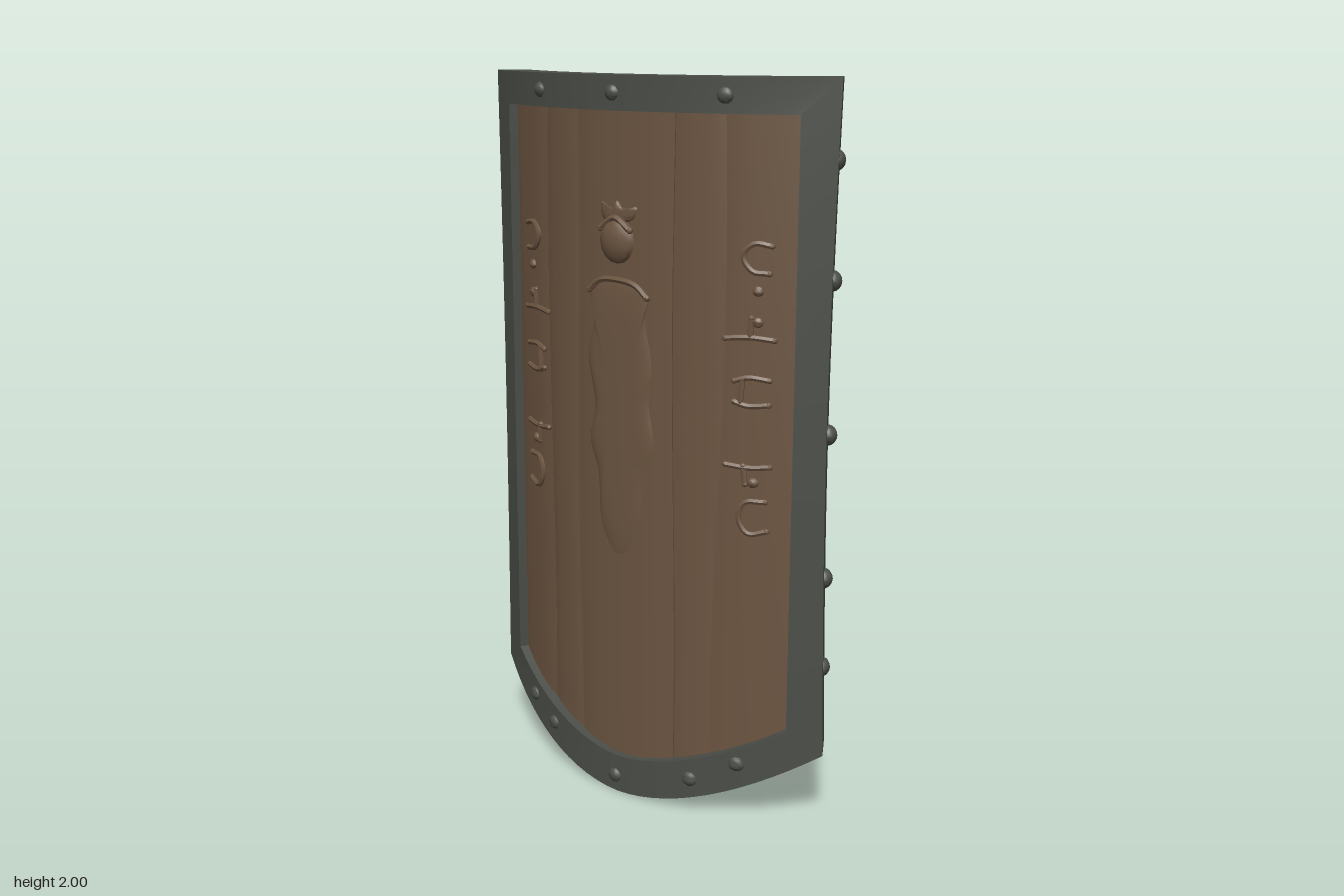
import * as THREE from 'three';
import { toCreasedNormals } from 'three/addons/utils/BufferGeometryUtils.js';

const wood = new THREE.MeshStandardMaterial({ color: 0x6c5541 });
wood.name = 'brown wood';
const iron = new THREE.MeshStandardMaterial({ color: 0x4b4e48 });
iron.name = 'dark iron';

const lerp = THREE.MathUtils.lerp;
const TOP = 2, INNER_TOP = 1.91, OUT = 0.555, INN = 0.47;
const outerBottom = u => 0.22 * Math.pow(Math.abs(u) / OUT, 1.8);
const innerBottom = u => 0.11 + 0.17 * Math.pow(Math.abs(u) / INN, 1.7);

// Everything is laid out flat as (u, y, depth) and then wrapped on the shield's curve
function bend(geo, remap) {
  const p = geo.attributes.position;
  for (let i = 0; i < p.count; i++) {
    let v = [p.getX(i), p.getY(i), p.getZ(i)];
    if (remap) v = remap(...v);
    const [u, y, d] = v;
    const slope = 1.06 * u, len = Math.hypot(slope, 1);
    p.setXYZ(i, u + slope / len * d, y, 0.075 - 0.53 * u * u + d / len);
  }
  return toCreasedNormals(geo, 0.7);
}

function add(group, name, geo, material, remap) {
  const mesh = new THREE.Mesh(bend(geo, remap), material);
  mesh.name = name;
  group.add(mesh);
  return mesh;
}

// Squashed ball, for rivets and dots
function stud(group, name, material, u, y, d, rx, ry, rd) {
  const g = new THREE.SphereGeometry(1, 12, 8);
  g.scale(rx, ry, rd).translate(u, y, d);
  add(group, name, g, material);
}

// Rounded raised line through flat points [u, y]
function ridge(group, name, pts, d, r) {
  const curve = new THREE.CatmullRomCurve3(pts.map(([u, y, z = 0]) => new THREE.Vector3(u, y, d + z)));
  add(group, name, new THREE.TubeGeometry(curve, 16, r, 6), wood);
  for (const [u, y, z = 0] of [pts[0], pts[pts.length - 1]]) stud(group, name + 'End', wood, u, y, d + z, r, r, r);
}

// Softly domed carving with a smooth closed outline; side is 1 for front, -1 for back
function carving(group, name, outline, d, height, side) {
  const n = 64, rings = 6;
  const curve = new THREE.CatmullRomCurve3(outline.map(([u, y]) => new THREE.Vector3(u, y, 0)), true);
  const pts = curve.getSpacedPoints(n).slice(0, n);
  const c = new THREE.Vector3();
  pts.forEach(p => c.addScaledVector(p, 1 / n));
  const area = pts.reduce((a, p, i) => a + p.x * pts[(i + 1) % n].y - pts[(i + 1) % n].x * p.y, 0);
  if (area * side < 0) pts.reverse();
  const pos = [], idx = [];
  for (let r = 0; r <= rings; r++) {
    const t = Math.sin(r / rings * Math.PI / 2);
    for (const p of pts) pos.push(lerp(c.x, p.x, t), lerp(c.y, p.y, t), d + side * height * (1 - Math.pow(t, 8)));
  }
  for (let r = 0; r < rings; r++) for (let i = 0; i < n; i++) {
    const a = r * n + i, b = r * n + (i + 1) % n;
    if (r > 0) idx.push(a, b + n, b);
    idx.push(a, a + n, b + n);
  }
  const g = new THREE.BufferGeometry();
  g.setAttribute('position', new THREE.Float32BufferAttribute(pos, 3));
  g.setIndex(idx);
  add(group, name, g, wood);
}

function buildFrame(root) {
  const frame = new THREE.Group();
  frame.name = 'frame';
  const depth = 0.09;
  // Mitred top and bottom rails
  add(frame, 'topRail', new THREE.BoxGeometry(1, 1, depth, 28, 1, 1), iron, (x, y, d) =>
    [2 * x * lerp(INN, OUT, y + 0.5), lerp(INNER_TOP, TOP, y + 0.5), d]);
  add(frame, 'bottomRail', new THREE.BoxGeometry(1, 1, depth, 28, 1, 1), iron, (x, y, d) => {
    const t = 0.5 - y, u = 2 * x * lerp(INN, OUT, t);
    return [u, lerp(innerBottom(2 * x * INN), outerBottom(2 * x * OUT), t), d];
  });
  // Side rails, slightly drawn in at mid-height
  for (const s of [-1, 1]) {
    add(frame, s > 0 ? 'leftRail' : 'rightRail', new THREE.BoxGeometry(1, 1, depth, 1, 20, 1), iron, (x, y, d) => {
      const t = s * x + 0.5, h = y + 0.5;
      const u = lerp(INN, OUT, t) - 0.012 * t * Math.sin(Math.PI * h);
      return [s * u, lerp(lerp(0.28, 0.22, t), lerp(INNER_TOP, TOP, t), h), d];
    });
    for (const y of [1.8, 1.5, 1.1, 0.71, 0.46]) stud(frame, 'sideRivet', iron, s * 0.545, y, 0, 0.02, 0.027, 0.027);
  }
  // Rivets on the front and back of the rails
  for (const d of [-0.043, 0.043]) {
    for (const u of [-0.29, -0.01, 0.3]) stud(frame, 'topRivet', iron, u, 1.955, d, 0.021, 0.021, 0.014);
    for (const [u, y] of [[-0.37, 0.17], [-0.265, 0.12], [-0.01, 0.047], [0.225, 0.1], [0.35, 0.17]])
      stud(frame, 'bottomRivet', iron, u, y, d, 0.021, 0.021, 0.014);
  }
  root.add(frame);
}

function buildPlanks(root) {
  const planks = new THREE.Group();
  planks.name = 'planks';
  // Seams wander a little with height
  const edges = [
    () => -0.49,
    y => -0.3 + 0.008 * Math.sin(y * 3.2),
    y => -0.162 + 0.006 * Math.sin(y * 4 + 1),
    y => 0.16 + 0.005 * Math.sin(y * 3.5),
    y => 0.285 + 0.016 * Math.sin(y * 2.4 - 2.2),
    () => 0.49,
  ];
  const half = [0.021, 0.019, 0.024, 0.018, 0.021];
  for (let i = 0; i < 5; i++) {
    add(planks, 'plank', new THREE.BoxGeometry(1, 1, 2, 8, 24, 1), wood, (x, y, d) => {
      const h = lerp(0.2, 1.93, y + 0.5);
      const u = lerp(edges[i](h) - 0.001, edges[i + 1](h) + 0.001, x + 0.5);
      const round = 1 - 0.25 * Math.pow(Math.abs(2 * x), 4);
      return [u, lerp(innerBottom(u) - 0.03, 1.93, y + 0.5), d * half[i] * round];
    });
  }
  // Split slivers on the back
  for (const [u, lean] of [[0.27, 0.02], [-0.25, -0.01]])
    add(planks, 'sliver', new THREE.BoxGeometry(0.035, 0.42, 0.012, 1, 6, 1), wood, (x, y, d) =>
      [u + x * (0.7 - y) + lean * y * 4, 0.53 + y, d - 0.019]);
  root.add(planks);
}

function buildFrontCarvings(root) {
  const g = new THREE.Group();
  g.name = 'frontCarvings';
  // Central ornament: long wavy body, round knob and small crest
  carving(g, 'longOrnament', [[-0.11, 1.46], [0, 1.475], [0.09, 1.45], [0.08, 1.38], [0.1, 1.24], [0.09, 1.15], [0.105, 1.03],
    [0.075, 0.92], [0.05, 0.76], [-0.01, 0.69], [-0.07, 0.77], [-0.085, 0.93], [-0.115, 1.02], [-0.095, 1.12],
    [-0.12, 1.26], [-0.095, 1.37]], 0.022, 0.009, 1);
  ridge(g, 'collar', [[-0.11, 1.435], [-0.07, 1.465], [0, 1.47], [0.05, 1.46], [0.085, 1.43]], 0.024, 0.009);
  stud(g, 'knob', wood, -0.01, 1.575, 0.024, 0.055, 0.062, 0.028);
  ridge(g, 'knobBand', [[-0.058, 1.605], [-0.01, 1.635], [0.038, 1.605]], 0.034, 0.009);
  carving(g, 'crest', [[-0.06, 1.63], [0.04, 1.63], [0.055, 1.665], [0.01, 1.66], [-0.01, 1.68], [-0.03, 1.66], [-0.065, 1.675]], 0.022, 0.01, 1);
  // Mirrored columns of raised hooks, dots and bars
  for (const s of [-1, 1]) {
    const line = pts => ridge(g, 'columnMark', pts.map(([u, y]) => [s * u, y]), 0.022, 0.008);
    line([[0.41, 1.585], [0.37, 1.59], [0.342, 1.56], [0.365, 1.52], [0.405, 1.515]]);
    for (const y of [1.47, 1.39]) stud(g, 'columnDot', wood, s * 0.38, y, 0.022, 0.014, 0.014, 0.01);
    line([[0.42, 1.345], [0.36, 1.35], [0.3, 1.345]]);
    line([[0.365, 1.4], [0.362, 1.35]]);
    line([[0.41, 1.24], [0.36, 1.245], [0.325, 1.235]]);
    line([[0.41, 1.175], [0.36, 1.17], [0.325, 1.18]]);
    line([[0.345, 1.24], [0.34, 1.175]]);
    line([[0.415, 1.01], [0.365, 1.005], [0.305, 1.01]]);
    line([[0.35, 1.01], [0.355, 0.96]]);
    stud(g, 'columnDot', wood, s * 0.375, 0.965, 0.022, 0.014, 0.014, 0.01);
    line([[0.405, 0.915], [0.355, 0.91], [0.34, 0.865], [0.365, 0.825], [0.41, 0.835]]);
  }
  root.add(g);
}

function buildBack(root) {
  const g = new THREE.Group();
  g.name = 'gripSide';
  const D = -0.021;
  for (const s of [-1, 1]) {
    // Scalloped mounting plate with a ridged rim
    const plate = [], steps = 22, at = (a, k) => [s * (0.215 + 0.1 * k * Math.cos(a)), 1.23 + 0.225 * k * Math.sin(a)];
    for (let i = 0; i < steps; i++) plate.push(at(i / steps * Math.PI * 2, i % 2 ? 0.93 : 1.04));
    carving(g, 'gripPlate', plate, -0.014, 0.02, -1);
    for (let i = 0; i < 12; i++) {
      const a = -1.6 + i * 0.29;
      ridge(g, 'plateNotch', [at(a, 0.75), at(a, 0.92)], -0.03, 0.008);
    }
    // Arched grip
    ridge(g, 'grip', [[s * 0.17, 1.36, 0.01], [s * 0.17, 1.36, -0.07], [s * 0.17, 1.31, -0.108],
      [s * 0.17, 1.2, -0.115], [s * 0.17, 1.1, -0.108], [s * 0.17, 1.05, -0.07], [s * 0.17, 1.05, 0.01]], -0.012, 0.015);
    stud(g, 'gripBoss', wood, s * 0.115, 1.22, -0.026, 0.04, 0.05, 0.018);
    stud(g, 'plateTail', wood, s * 0.19, 0.98, D, 0.025, 0.06, 0.015);
    // Leaf below the centre
    carving(g, 'lowerLeaf', [[0, 0.9], [s * 0.04, 0.89], [s * 0.11, 0.8], [s * 0.14, 0.72], [s * 0.1, 0.72], [s * 0.03, 0.81]], D, 0.014, -1);
    stud(g, 'medallionDot', wood, s * 0.03, 1.645, -0.036, 0.015, 0.015, 0.01);
  }
  // Centre carvings from top to bottom
  carving(g, 'medallion', [[-0.08, 1.69], [0, 1.705], [0.08, 1.69], [0.085, 1.63], [0.035, 1.545], [-0.035, 1.545], [-0.085, 1.63]], D, 0.02, -1);
  ridge(g, 'medallionRidge', [[-0.03, 1.585], [0, 1.575], [0.03, 1.585]], -0.036, 0.008);
  carving(g, 'shieldBoss', [[-0.1, 1.52], [0, 1.49], [0.1, 1.52], [0.085, 1.44], [0, 1.35], [-0.085, 1.44]], D, 0.016, -1);
  carving(g, 'skirt', [[-0.1, 1.07], [0, 1.05], [0.1, 1.07], [0.13, 0.95], [0.07, 0.9], [0, 0.96], [-0.07, 0.9], [-0.13, 0.95]], D, 0.013, -1);
  root.add(g);
}

export function createModel() {
  const root = new THREE.Group();
  root.name = 'shield';
  buildFrame(root);
  buildPlanks(root);
  buildFrontCarvings(root);
  buildBack(root);
  return root;
}
